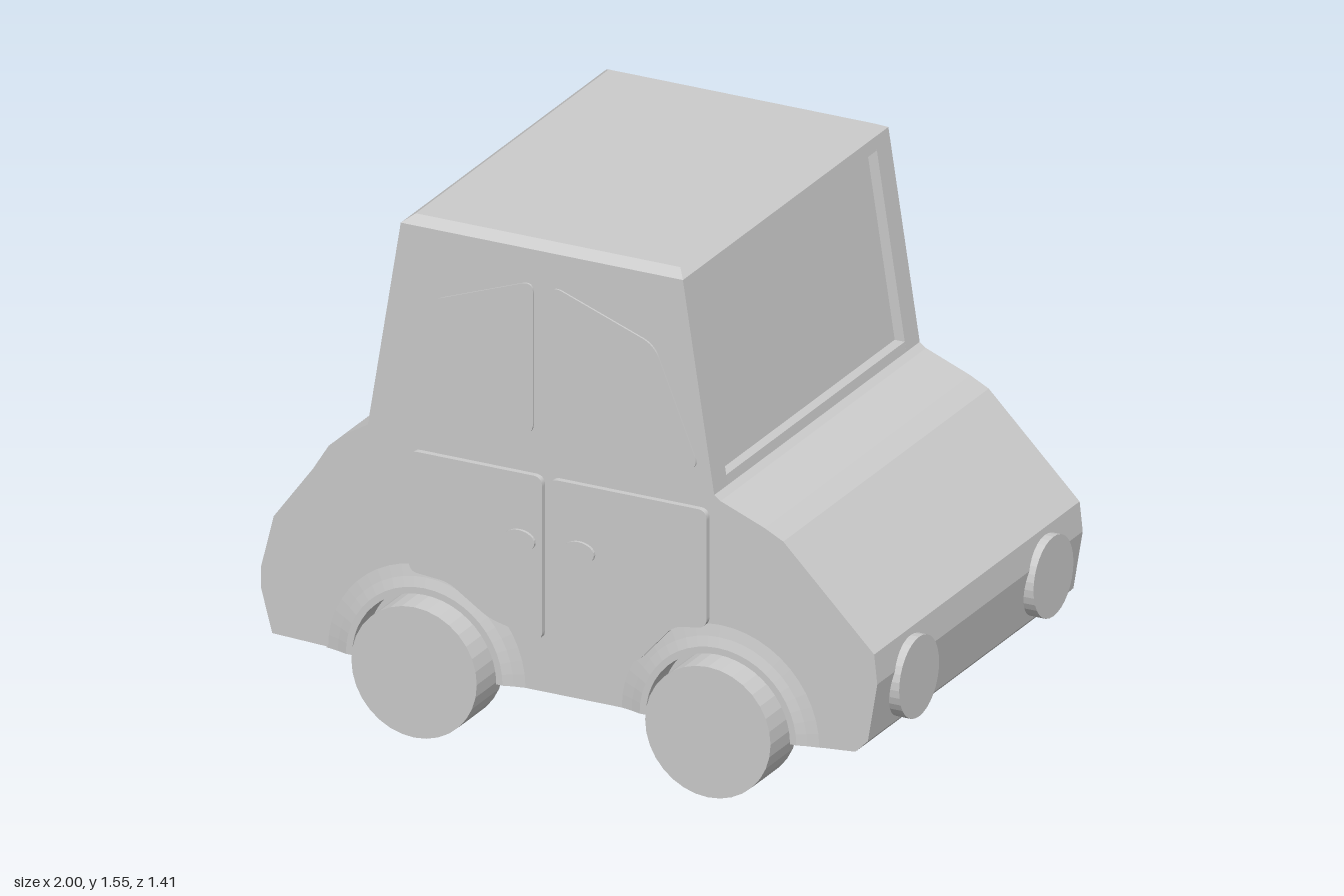
import * as THREE from 'three';

const material = new THREE.MeshStandardMaterial({ color: 0xcccccc, flatShading: true, side: THREE.DoubleSide });
const WHEELS_X = [-0.457, 0.48];
const HALF_WIDTH = 0.627, GLASS_HALF = 0.545;
const ARCH_Y = 0.19, ARCH_R = 0.23;

// Outline of the car from tail (-x) over the roof to the nose (+x)
const TAIL = [[-0.95, 0.2], [-0.985, 0.33], [-0.985, 0.4], [-0.945, 0.56], [-0.82, 0.73], [-0.77, 0.81], [-0.72, 0.855], [-0.645, 0.9]];
const NOSE = [[0.46, 0.9], [0.48, 0.885], [0.62, 0.83], [0.68, 0.8], [0.97, 0.51], [0.98, 0.42], [0.95, 0.24], [0.91, 0.2], [0.75, 0.187]];
const ROOF = [[-0.54, 1.54], [0.36, 1.54]];
// Stepped cabin ends that sink the front and rear glass
const REAR_GLASS = [[-0.64, 0.93], [-0.608, 0.93], [-0.515, 1.5], [-0.547, 1.5]];
const FRONT_GLASS = [[0.366, 1.5], [0.334, 1.5], [0.423, 0.93], [0.455, 0.93]];

function add(parent, name, geometry, x = 0, y = 0, z = 0) {
  const mesh = new THREE.Mesh(geometry, material);
  mesh.name = name;
  mesh.position.set(x, y, z);
  parent.add(mesh);
  return mesh;
}

function extrude(shape, depth) {
  return new THREE.ExtrudeGeometry(shape, { depth, bevelEnabled: false, curveSegments: 20 });
}

function bodyShape(points, arches) {
  const shape = new THREE.Shape();
  points.forEach(([x, y], i) => (i ? shape.lineTo(x, y) : shape.moveTo(x, y)));
  if (arches) {
    // the underside runs from nose to tail, climbing over each wheel
    [...WHEELS_X].reverse().forEach((x) => {
      shape.lineTo(x + ARCH_R, ARCH_Y);
      shape.absarc(x, ARCH_Y, ARCH_R, 0, Math.PI, false);
    });
  }
  shape.closePath();
  return shape;
}

// Polygon with every corner rounded
function roundedShape(points, radius) {
  const p = points.map(([x, y]) => new THREE.Vector2(x, y));
  const shape = new THREE.Shape();
  p.forEach((corner, i) => {
    const toward = (q) => {
      const d = q.clone().sub(corner);
      return corner.clone().addScaledVector(d, Math.min(radius / d.length(), 0.45));
    };
    const a = toward(p[(i + p.length - 1) % p.length]);
    const b = toward(p[(i + 1) % p.length]);
    if (i) shape.lineTo(a.x, a.y);
    else shape.moveTo(a.x, a.y);
    shape.quadraticCurveTo(corner.x, corner.y, b.x, b.y);
  });
  shape.closePath();
  return shape;
}

// Roof slab whose top edges are drawn in to make a chamfer
function roofGeometry() {
  const g = new THREE.BoxGeometry(0.9, 0.02, 2 * HALF_WIDTH);
  const pos = g.attributes.position;
  for (let i = 0; i < pos.count; i++) {
    if (pos.getY(i) < 0) continue;
    pos.setX(i, pos.getX(i) - Math.sign(pos.getX(i)) * 0.028);
    pos.setZ(i, pos.getZ(i) - Math.sign(pos.getZ(i)) * 0.038);
  }
  g.computeVertexNormals();
  return g;
}

export function createModel() {
  const car = new THREE.Group();
  car.name = 'car';

  // Body: a core with sunken glass between two sides with wheel arches
  const core = bodyShape([...TAIL, ...REAR_GLASS, ...ROOF, ...FRONT_GLASS, ...NOSE], false);
  add(car, 'bodyCore', extrude(core, 2 * GLASS_HALF), 0, 0, -GLASS_HALF);
  const side = extrude(bodyShape([...TAIL, ...ROOF, ...NOSE], true), HALF_WIDTH - GLASS_HALF);
  add(car, 'leftBodySide', side, 0, 0, GLASS_HALF);
  add(car, 'rightBodySide', side, 0, 0, -HALF_WIDTH);
  add(car, 'roof', roofGeometry(), -0.09, 1.55, 0);

  // Side windows
  const windows = {
    rearSideWindow: [[-0.59, 0.97], [-0.44, 1.325], [-0.115, 1.445], [-0.115, 0.97]],
    frontSideWindow: [[-0.06, 0.97], [-0.06, 1.445], [0.27, 1.325], [0.415, 0.97]],
  };
  for (const [name, points] of Object.entries(windows)) {
    const g = extrude(roundedShape(points, 0.04), 0.012);
    add(car, name, g, 0, 0, 0.621);
    add(car, name, g, 0, 0, -0.633);
  }

  // Doors and handles, turned half round for the far side
  const doors = {
    rearDoor: [[-0.505, 0.855], [-0.08, 0.855], [-0.08, 0.35], [-0.25, 0.39], [-0.38, 0.475], [-0.505, 0.485]],
    frontDoor: [[-0.06, 0.855], [0.445, 0.855], [0.445, 0.495], [0.34, 0.48], [0.22, 0.345], [-0.06, 0.345]],
  };
  const handle = new THREE.CylinderGeometry(0.05, 0.05, 0.03, 24).rotateX(Math.PI / 2).scale(1, 0.66, 1);
  for (const turn of [0, Math.PI]) {
    const panel = new THREE.Group();
    panel.name = 'doorPanel';
    panel.rotation.y = turn;
    for (const [name, points] of Object.entries(doors)) {
      add(panel, name, extrude(roundedShape(points, 0.03), 0.025), 0, 0, 0.62);
    }
    for (const x of [-0.15, 0.04]) add(panel, 'doorHandle', handle, x, 0.65, 0.639);
    car.add(panel);
  }

  // Wheels and the flared lips of their arches
  const wheel = new THREE.CylinderGeometry(0.2, 0.2, 0.165, 32).rotateX(Math.PI / 2);
  const lip = [[ARCH_R, 0.6], [ARCH_R, 0.643], [0.25, 0.643], [0.28, 0.634], [0.32, 0.626]];
  const flare = new THREE.LatheGeometry(lip.map(([r, h]) => new THREE.Vector2(r, h)), 24, Math.PI / 2, Math.PI)
    .rotateX(Math.PI / 2);
  for (const x of WHEELS_X) {
    for (const s of [1, -1]) {
      add(car, 'wheel', wheel, x, 0.205, s * 0.622);
      add(car, 'archFlare', flare, x, ARCH_Y, 0).rotation.y = s > 0 ? 0 : Math.PI;
    }
  }

  // Round lamps on nose and tail
  const lamp = new THREE.CylinderGeometry(0.122, 0.122, 0.08, 32).rotateZ(Math.PI / 2);
  for (const [name, x] of [['headlight', 0.96], ['tailLight', -0.96]]) {
    for (const z of [0.41, -0.41]) add(car, name, lamp, x, 0.367, z);
  }
  return car;
}
